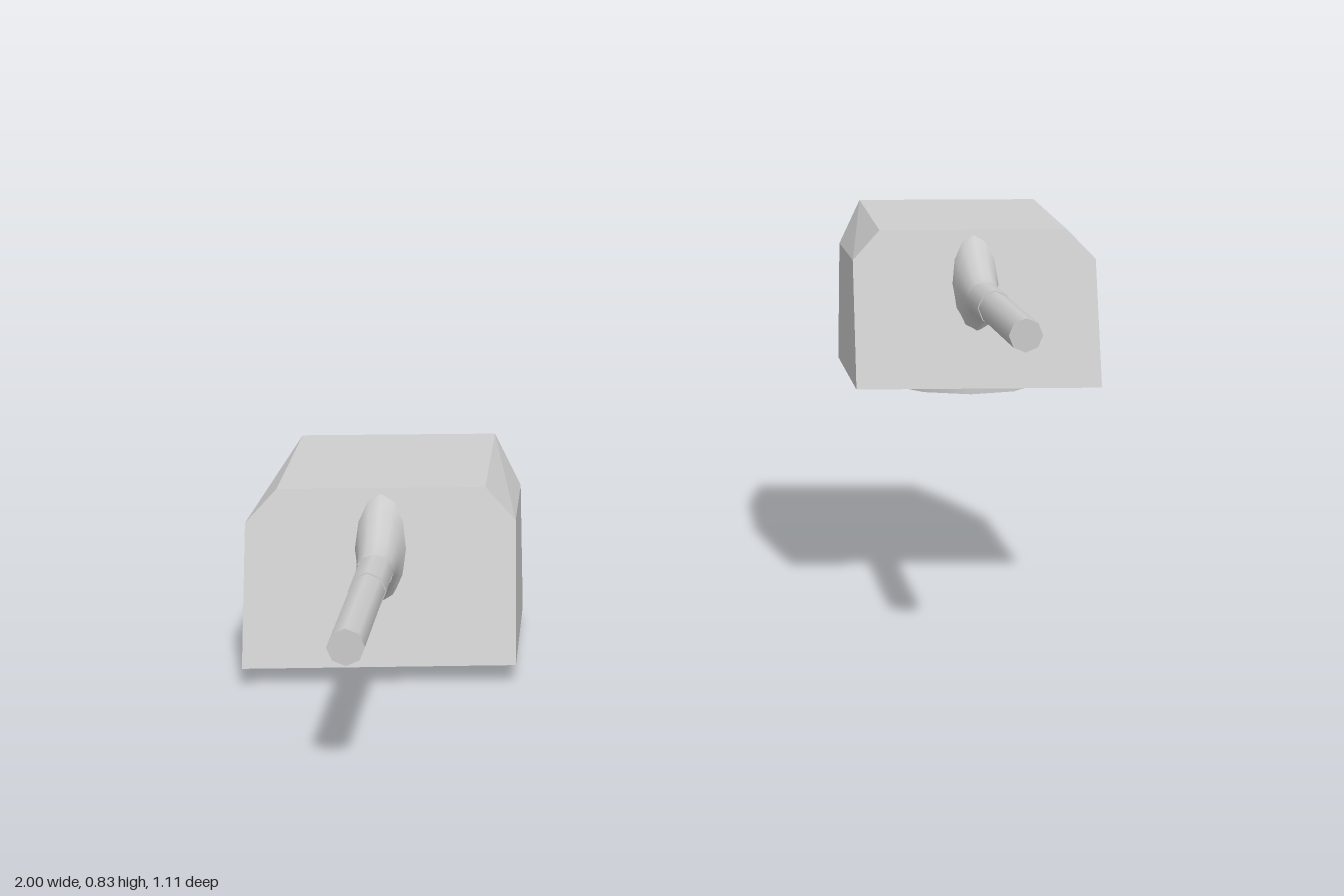
import * as THREE from 'three';
import { ConvexGeometry } from 'three/addons/geometries/ConvexGeometry.js';

const mat = new THREE.MeshStandardMaterial({ color: 0xcccccc });
const openMat = new THREE.MeshStandardMaterial({ color: 0xcccccc, side: THREE.DoubleSide });

// z of the sloping front plate at height y
const frontZ = (y) => 0.285 - (y - 0.033) * 0.407;
const GUN_Y = 0.233;

function mesh(name, geometry, material = mat) {
  const m = new THREE.Mesh(geometry, material);
  m.name = name;
  return m;
}

// Faceted armoured housing, mirrored about x = 0
function housingGeometry() {
  const half = [
    [0.265, 0.033, frontZ(0.033)], // front base
    [0.265, 0.298, frontZ(0.298)], // front shoulder
    [0.205, 0.36, frontZ(0.36)],   // front of roof
    [0.205, 0.385, -0.268],        // back of roof
    [0.205, 0.033, -0.268],        // back base
    [0.263, 0.298, -0.146],        // rear shoulder
    [0.263, 0.033, -0.146],        // rear side base
  ];
  const points = [];
  for (const [x, y, z] of half) {
    points.push(new THREE.Vector3(x, y, z), new THREE.Vector3(-x, y, z));
  }
  return new ConvexGeometry(points);
}

// Flared collar: tall oval on the front plate narrowing to the round barrel
function mantletGeometry() {
  const g = new THREE.CylinderGeometry(1, 1, 1, 12, 5, true);
  const p = g.attributes.position;
  for (let i = 0; i < p.count; i++) {
    const t = p.getY(i) + 0.5;
    const s = 1 - (1 - t) ** 2;
    const x = p.getX(i) * THREE.MathUtils.lerp(0.052, 0.036, s);
    const y = THREE.MathUtils.lerp(0.25, GUN_Y, s)
      - p.getZ(i) * THREE.MathUtils.lerp(0.108, 0.036, s);
    const z = THREE.MathUtils.lerp(frontZ(y) - 0.01, 0.33, t);
    p.setXYZ(i, x, y, z);
  }
  g.computeVertexNormals();
  return g;
}

// Tapered barrel section along z
function barrelSection(name, z0, z1, r0, r1) {
  const g = new THREE.CylinderGeometry(r1, r0, z1 - z0, 8);
  g.rotateX(Math.PI / 2);
  g.translate(0, GUN_Y, (z0 + z1) / 2);
  return mesh(name, g);
}

function createTurret(name) {
  const turret = new THREE.Group();
  turret.name = name;

  const ring = mesh('baseRing', new THREE.CylinderGeometry(0.171, 0.171, 0.036, 10, 1, true), openMat);
  ring.position.y = 0.018;

  turret.add(
    ring,
    mesh('housing', housingGeometry()),
    mesh('mantlet', mantletGeometry(), openMat),
    barrelSection('barrelSleeve', 0.15, 0.465, 0.036, 0.036),
    barrelSection('barrel', 0.465, 0.835, 0.034, 0.033),
  );
  turret.rotation.y = -Math.PI / 8;
  return turret;
}

export function createModel() {
  const model = new THREE.Group();
  model.name = 'gunTurretPair';

  // Low turret on the right, raised turret on the left
  const lower = createTurret('lowerTurret');
  lower.position.set(-0.648, 0, -0.23);
  const upper = createTurret('upperTurret');
  upper.position.set(0.699, 0.448, -0.23);

  model.add(lower, upper);
  return model;
}
